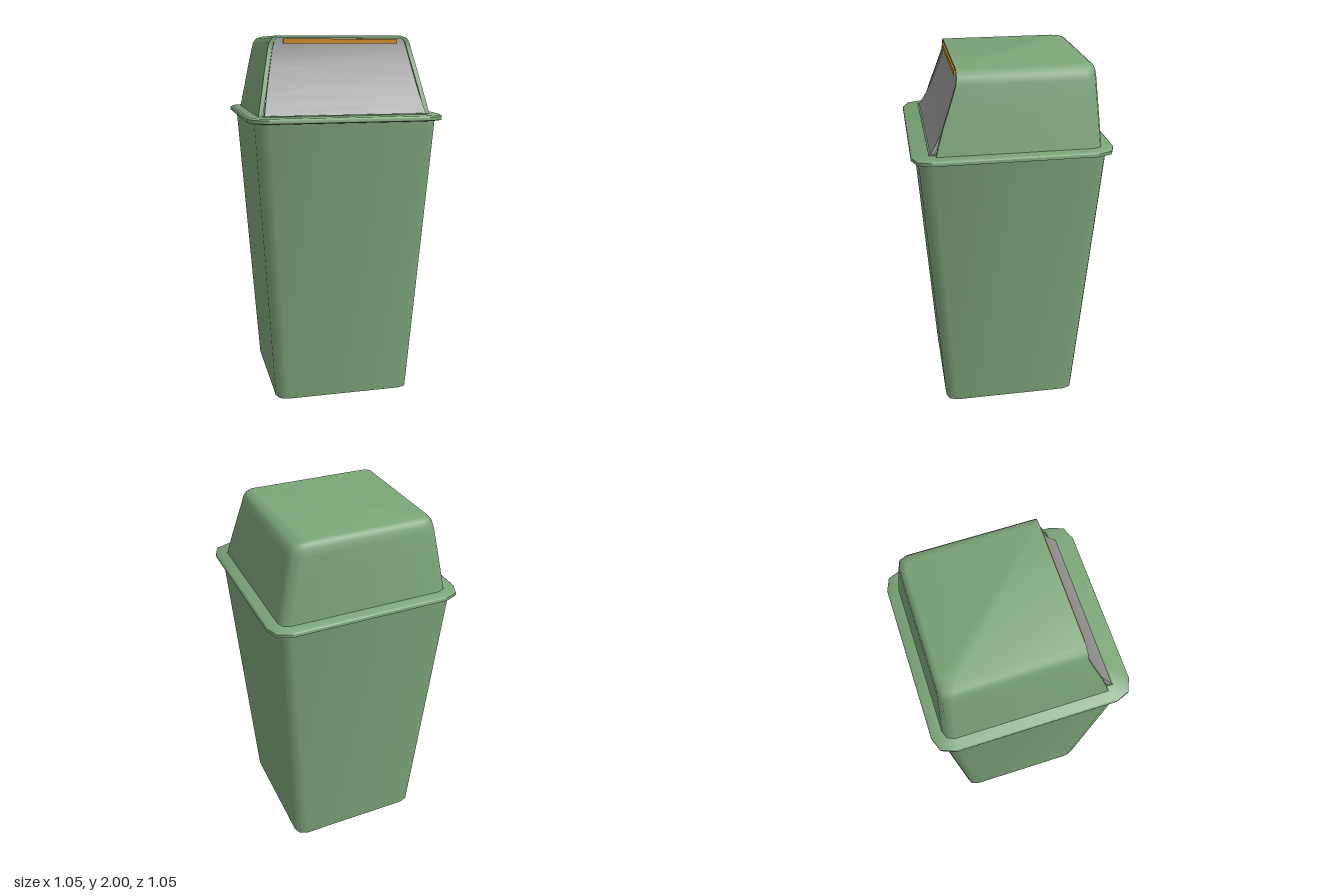
import * as THREE from 'three';
import { toCreasedNormals } from 'three/addons/utils/BufferGeometryUtils.js';

// Skin a list of equal-length cross-sections; optionally close each loop and cap the ends.
function loft(rings, { closed = true, bottom = false, top = false } = {}) {
  const n = rings[0].length;
  const index = [];
  for (let r = 0; r < rings.length - 1; r++) {
    for (let i = 0; i < (closed ? n : n - 1); i++) {
      const j = (i + 1) % n;
      const a = r * n + i, b = r * n + j;
      index.push(a, b, b + n, a, b + n, a + n);
    }
  }
  const last = (rings.length - 1) * n;
  for (let i = 1; i < n - 1; i++) {
    if (bottom) index.push(0, i + 1, i);
    if (top) index.push(last, last + i, last + i + 1);
  }
  const geo = new THREE.BufferGeometry();
  geo.setAttribute('position', new THREE.Float32BufferAttribute(rings.flat(2), 3));
  geo.setIndex(index);
  return toCreasedNormals(geo, 0.9);
}

// Square outline with softened corners, counter-clockwise seen from above.
function squareRing(h, y, c) {
  const k = h - c * 0.28;
  const corner = [[h, -(h - c)], [k, -k], [h - c, -h]];
  const ring = [];
  for (let q = 0; q < 4; q++) {
    const cos = Math.round(Math.cos(q * Math.PI / 2));
    const sin = Math.round(Math.sin(q * Math.PI / 2));
    for (const [x, z] of corner) ring.push([x * cos + z * sin, y, -x * sin + z * cos]);
  }
  return ring;
}

export function createModel() {
  const model = new THREE.Group();
  model.name = 'swingLidBin';
  const green = new THREE.MeshStandardMaterial({ name: 'green plastic', color: 0x7ba477 });
  const grey = new THREE.MeshStandardMaterial({ name: 'grey flap', color: 0x949494 });
  const orange = new THREE.MeshStandardMaterial({ name: 'orange handle', color: 0xd08a0a });
  const add = (name, geo, material) => {
    const mesh = new THREE.Mesh(geo, material);
    mesh.name = name;
    model.add(mesh);
    return mesh;
  };

  // Tapered body
  add('body', loft([squareRing(0.385, 0, 0.06), squareRing(0.49, 1.575, 0.07)], { bottom: true }), green);

  // Overhanging rim
  const rim = [[0.485, 1.575], [0.51, 1.558], [0.525, 1.563], [0.525, 1.58], [0.515, 1.588]];
  add('rim', loft(rim.map(([h, y]) => squareRing(h, y, 0.1)), { top: true }), green);

  // Hood: [y, half width, back z, front z]
  const levels = [
    [1.585, 0.465, -0.465, 0.40],
    [1.64, 0.454, -0.461, 0.385],
    [1.72, 0.437, -0.455, 0.36],
    [1.82, 0.417, -0.447, 0.323],
    [1.93, 0.393, -0.439, 0.284],
    [1.965, 0.384, -0.434, 0.28],
    [1.988, 0.368, -0.424, 0.28],
    [2.0, 0.335, -0.405, 0.28],
  ];
  const c = 0.055;
  const hood = levels.map(([y, w, back, front]) => {
    const half = [[w, front], [w, back + c], [w - c * 0.28, back + c * 0.28], [w - c, back]];
    return [
      ...half.map(([x, z]) => [x, y, z]),
      ...half.reverse().map(([x, z]) => [-x, y, z]),
    ];
  });
  add('hood', loft(hood, { closed: false, top: true }), green);

  // Thickness of the hood around its front opening
  const right = levels.map(([y, w, , front]) => [w, y, front]);
  const outer = [...right, ...[...right].reverse().map(([x, y, z]) => [-x, y, z])];
  const inner = outer.map(([x, y, z]) => [x - Math.sign(x) * 0.024, Math.min(y, 1.986), z]);
  const inside = inner.map(([x, y, z]) => [x, y, z - 0.06]);
  add('hoodEdge', loft([outer, inner, inside], { closed: false }), green);

  // Swinging flap: [y, half width, front z]
  const flapRows = [
    [1.592, 0.436, 0.428],
    [1.64, 0.426, 0.398],
    [1.70, 0.414, 0.364],
    [1.82, 0.39, 0.316],
    [1.93, 0.367, 0.278],
    [1.988, 0.35, 0.272],
  ];
  const flap = flapRows.map(([y, w, z]) => [[w, y, z], [w, y, z - 0.02], [-w, y, z - 0.02], [-w, y, z]]);
  add('flap', loft(flap, { bottom: true, top: true }), grey);

  // Sill below the flap
  add('sill', new THREE.BoxGeometry(0.876, 0.01, 0.05), green).position.set(0, 1.589, 0.41);

  // Handle strip along the top of the flap
  add('handle', new THREE.BoxGeometry(0.62, 0.024, 0.02), orange).position.set(0, 1.971, 0.277);

  return model;
}
